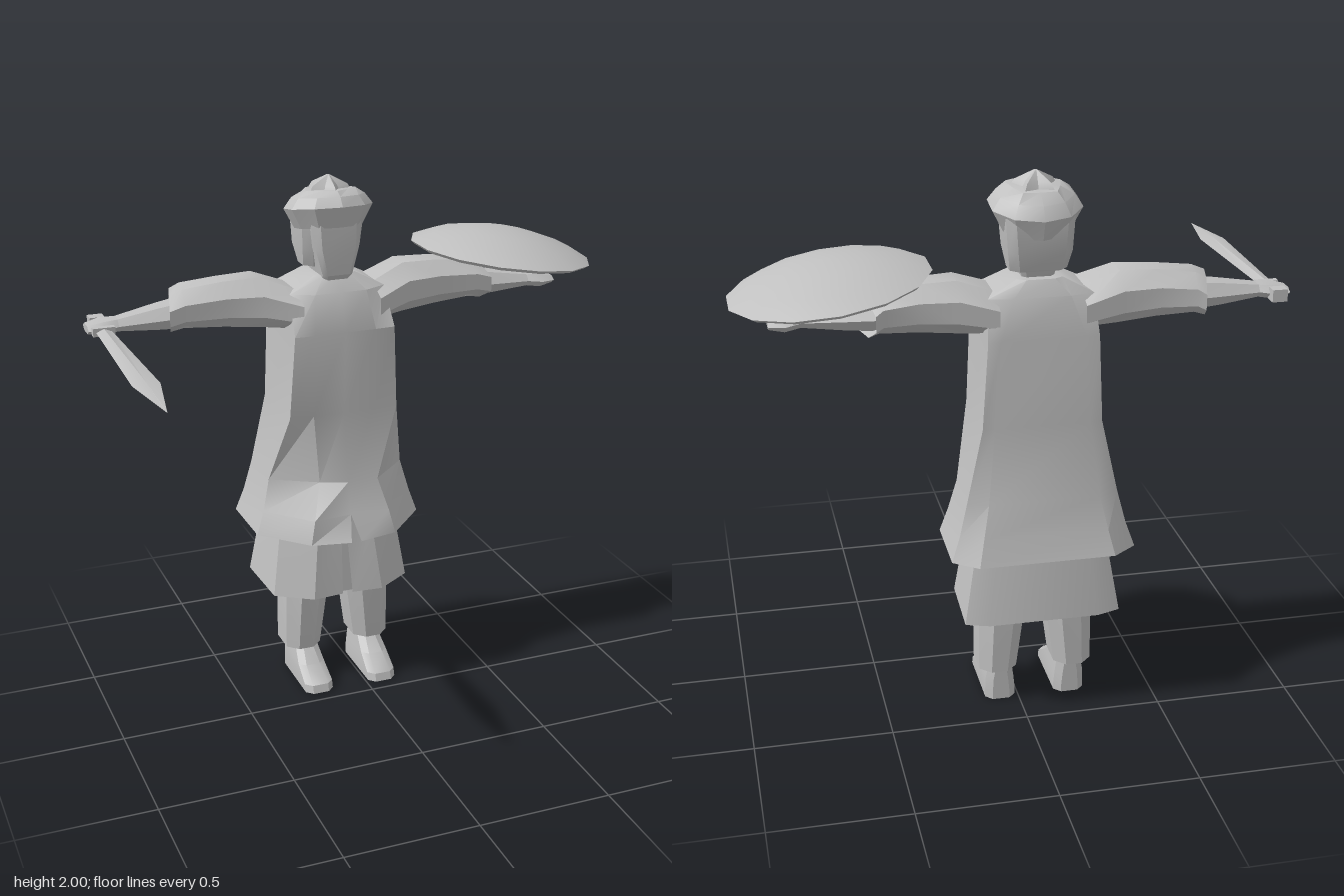
import * as THREE from 'three';
import { toCreasedNormals } from 'three/addons/utils/BufferGeometryUtils.js';

const cloth = new THREE.MeshStandardMaterial({ color: 0xc0c0c0, side: THREE.DoubleSide });
cloth.name = 'plain grey';

// Skin a stack of equal-length rings; optionally wrap round and close the ends.
function loft(rings, { wrap = true, start = false, end = false } = {}) {
  const pos = [], n = rings[0].length;
  const tri = (...p) => p.forEach((v) => pos.push(...v));
  for (let r = 0; r < rings.length - 1; r++) {
    for (let i = 0; i < (wrap ? n : n - 1); i++) {
      const j = (i + 1) % n, a = rings[r], b = rings[r + 1];
      tri(a[i], a[j], b[j], a[i], b[j], b[i]);
    }
  }
  const cap = (ring, flip) => {
    const mid = [0, 1, 2].map((k) => ring.reduce((s, p) => s + p[k], 0) / n);
    ring.forEach((p, i) => {
      const q = ring[(i + 1) % n];
      flip ? tri(mid, q, p) : tri(mid, p, q);
    });
  };
  if (start) cap(rings[0], true);
  if (end) cap(rings[rings.length - 1], false);
  const g = new THREE.BufferGeometry();
  g.setAttribute('position', new THREE.Float32BufferAttribute(pos, 3));
  return g;
}

function mesh(name, geometry, parent) {
  const m = new THREE.Mesh(toCreasedNormals(geometry, 0.5), cloth);
  m.name = name;
  parent.add(m);
  return m;
}

// Horizontal ring mirrored left to right, listed from the front middle to the back.
const mirrored = (y, half) => [
  ...half.map(([x, z]) => [x, y, z]),
  ...half.slice().reverse().map(([x, z]) => [-x, y, z]),
];

// Horizontal rectangle with cut corners.
const cutRect = (y, x0, x1, z0, z1, c) => [
  [x0 + c, y, z1], [x1 - c, y, z1], [x1, y, z1 - c], [x1, y, z0 + c],
  [x1 - c, y, z0], [x0 + c, y, z0], [x0, y, z0 + c], [x0, y, z1 - c],
];

// Upright ring across an arm; lean shifts the front edge further out.
const armRing = (x, y0, y1, z0, z1, lean = 0, n = 8) => Array.from({ length: n }, (_, i) => {
  const a = ((i + 0.5) / n) * Math.PI * 2, k = 1.08;
  const s = Math.max(-1, Math.min(1, Math.sin(a) * k)), c = Math.max(-1, Math.min(1, Math.cos(a) * k));
  return [x + lean * s, (y0 + y1) / 2 + ((y1 - y0) / 2) * c, (z0 + z1) / 2 + ((z1 - z0) / 2) * s];
});

// Horizontal ring for the headgear, sloping down to the back.
const hatRing = (y, rx, rz, tilt, star = 1) => Array.from({ length: 10 }, (_, i) => {
  const a = (i / 10) * Math.PI * 2, k = i % 2 ? star : 1;
  const z = rz * k * Math.cos(a);
  return [rx * k * Math.sin(a), y + tilt * z, z - 0.28];
});

function addLimbs(body, side) {
  const limbs = new THREE.Group();
  limbs.name = side > 0 ? 'leftLimbs' : 'rightLimbs';
  limbs.scale.x = side;
  body.add(limbs);

  mesh('sleeve', loft([
    armRing(0.15, 1.45, 1.6, -0.43, -0.13),
    armRing(0.285, 1.462, 1.65, -0.42, -0.18),
    armRing(0.42, 1.475, 1.645, -0.41, -0.2),
    armRing(0.56, 1.485, 1.63, -0.43, -0.2, 0.015),
    armRing(0.603, 1.475, 1.61, -0.44, -0.2, 0.03),
    armRing(0.56, 1.5, 1.59, -0.4, -0.22, 0.02),
  ]), limbs);
  mesh('forearm', loft([
    armRing(0.55, 1.485, 1.59, -0.385, -0.215, 0, 6),
    armRing(0.66, 1.49, 1.575, -0.36, -0.225, 0, 6),
    armRing(0.81, 1.503, 1.55, -0.325, -0.235, 0, 6),
  ]), limbs);
  mesh('hand', loft([
    armRing(0.81, 1.503, 1.55, -0.325, -0.235, 0, 6),
    armRing(0.865, 1.495, 1.548, -0.345, -0.22, 0, 6),
    armRing(0.92, 1.505, 1.535, -0.33, -0.235, 0, 6),
  ], { end: true }), limbs);
  mesh('trouserLeg', loft([
    cutRect(0.13, 0.072, 0.212, -0.38, -0.19, 0.04),
    cutRect(0.4, 0.035, 0.212, -0.385, -0.172, 0.05),
    cutRect(0.72, 0.01, 0.18, -0.38, -0.18, 0.05),
  ], { start: true }), limbs);
  mesh('shoe', loft([
    cutRect(0, 0.075, 0.188, -0.355, -0.05, 0.025),
    cutRect(0.03, 0.075, 0.188, -0.355, -0.06, 0.025),
    cutRect(0.08, 0.08, 0.186, -0.355, -0.14, 0.025),
    cutRect(0.14, 0.088, 0.175, -0.355, -0.21, 0.025),
  ], { start: true }), limbs);
}

export function createModel() {
  const model = new THREE.Group();
  model.name = 'robedFighter';
  const body = new THREE.Group();
  body.name = 'body';
  body.position.x = -0.064;
  model.add(body);

  // Long robe, split at the front hem, with one fold on the right
  const robe = [
    mirrored(0.65, [[0.02, 0], [0.17, -0.03], [0.33, -0.2], [0.333, -0.47], [0.245, -0.535]]),
    mirrored(0.74, [[0, -0.06], [0.15, -0.045], [0.3, -0.21], [0.302, -0.455], [0.225, -0.505]]),
    mirrored(0.86, [[0, -0.09], [0.12, -0.09], [0.27, -0.23], [0.272, -0.44], [0.2, -0.472]]),
    mirrored(1.13, [[0, -0.125], [0.12, -0.128], [0.213, -0.13], [0.213, -0.43], [0.17, -0.433]]),
    mirrored(1.45, [[0, -0.105], [0.12, -0.105], [0.195, -0.108], [0.195, -0.44], [0.15, -0.442]]),
    mirrored(1.59, [[0, -0.15], [0.1, -0.15], [0.185, -0.19], [0.185, -0.39], [0.1, -0.41]]),
    mirrored(1.645, [[0, -0.2], [0.05, -0.2], [0.08, -0.22], [0.08, -0.36], [0.05, -0.38]]),
  ];
  robe[2][8] = [-0.1, 0.86, -0.13];
  mesh('robe', loft(robe, { wrap: false, end: true }), body);

  // Under-skirt with a narrow front slit
  mesh('underSkirt', loft([
    mirrored(0.39, [[0.02, -0.1], [0.14, -0.09], [0.275, -0.18], [0.285, -0.46], [0.2, -0.488]]),
    mirrored(0.66, [[0.01, -0.14], [0.11, -0.125], [0.235, -0.21], [0.24, -0.43], [0.17, -0.45]]),
    mirrored(0.85, [[0, -0.16], [0.09, -0.16], [0.2, -0.23], [0.2, -0.41], [0.14, -0.43]]),
  ], { wrap: false }), body);
  mesh('slitLining', loft([
    mirrored(0.375, [[0, -0.15], [0.04, -0.15]]).slice(1, 3).reverse(),
    mirrored(0.8, [[0, -0.17], [0.04, -0.17]]).slice(1, 3).reverse(),
  ], { wrap: false }), body);

  addLimbs(body, 1);
  addLimbs(body, -1);

  // Head and the hair hanging behind it
  mesh('head', loft([
    cutRect(1.6, -0.05, 0.05, -0.33, -0.21, 0.02),
    cutRect(1.65, -0.058, 0.058, -0.35, -0.17, 0.015),
    cutRect(1.75, -0.085, 0.085, -0.38, -0.165, 0.02),
    cutRect(1.86, -0.1, 0.1, -0.39, -0.17, 0.03),
  ]), body);
  mesh('hair', loft([
    cutRect(1.67, -0.1, 0.1, -0.37, -0.25, 0.03),
    cutRect(1.74, -0.112, 0.112, -0.4, -0.22, 0.03),
    cutRect(1.86, -0.12, 0.12, -0.4, -0.2, 0.03),
  ], { start: true }), body);

  // Wrapped hat: flared band, crown and knotted top
  mesh('hat', loft([
    hatRing(1.835, 0.09, 0.09, 0.1),
    hatRing(1.81, 0.125, 0.13, 0.17),
    hatRing(1.885, 0.165, 0.155, 0.17),
    hatRing(1.925, 0.135, 0.13, 0.15),
    hatRing(1.95, 0.1, 0.1, 0.1, 0.85),
  ], { start: true, end: true }), body);
  mesh('hatKnot', loft([
    hatRing(1.945, 0.085, 0.09, 0, 0.6),
    hatRing(1.967, 0.07, 0.075, 0, 0.55),
    hatRing(2, 0.006, 0.006, 0),
  ], { end: true }), body);

  // Shallow domed shield lying over the left forearm
  const profile = [[0, 0.03], [0.2, 0.012], [0.335, -0.016], [0.352, -0.003], [0.27, 0.036], [0.14, 0.068], [0, 0.082]];
  const shield = mesh('shield', new THREE.LatheGeometry(
    profile.map(([r, y]) => new THREE.Vector2(r, y)), 14), model);
  shield.position.set(0.645, 1.654, -0.29);
  shield.rotation.z = -0.14;

  // Sword pointing forward from the right hand
  const sword = new THREE.Group();
  sword.name = 'sword';
  sword.position.set(-0.934, 1.522, 0);
  model.add(sword);
  const bladeRing = (z, w, t, y = 0) => [[w, y, z], [0, y + t, z], [-w, y, z], [0, y - t, z]];
  mesh('blade', loft([
    bladeRing(-0.23, 0.028, 0.012),
    bladeRing(0.38, 0.047, 0.008, -0.004),
    bladeRing(0.635, 0.001, 0.001, -0.012),
  ], { start: true, end: true }), sword);
  const box = (name, w, h, d, z) => {
    mesh(name, new THREE.BoxGeometry(w, h, d), sword).position.z = z;
  };
  box('guard', 0.08, 0.03, 0.025, -0.222);
  box('grip', 0.03, 0.028, 0.12, -0.285);
  box('pommel', 0.055, 0.045, 0.045, -0.342);

  return model;
}
